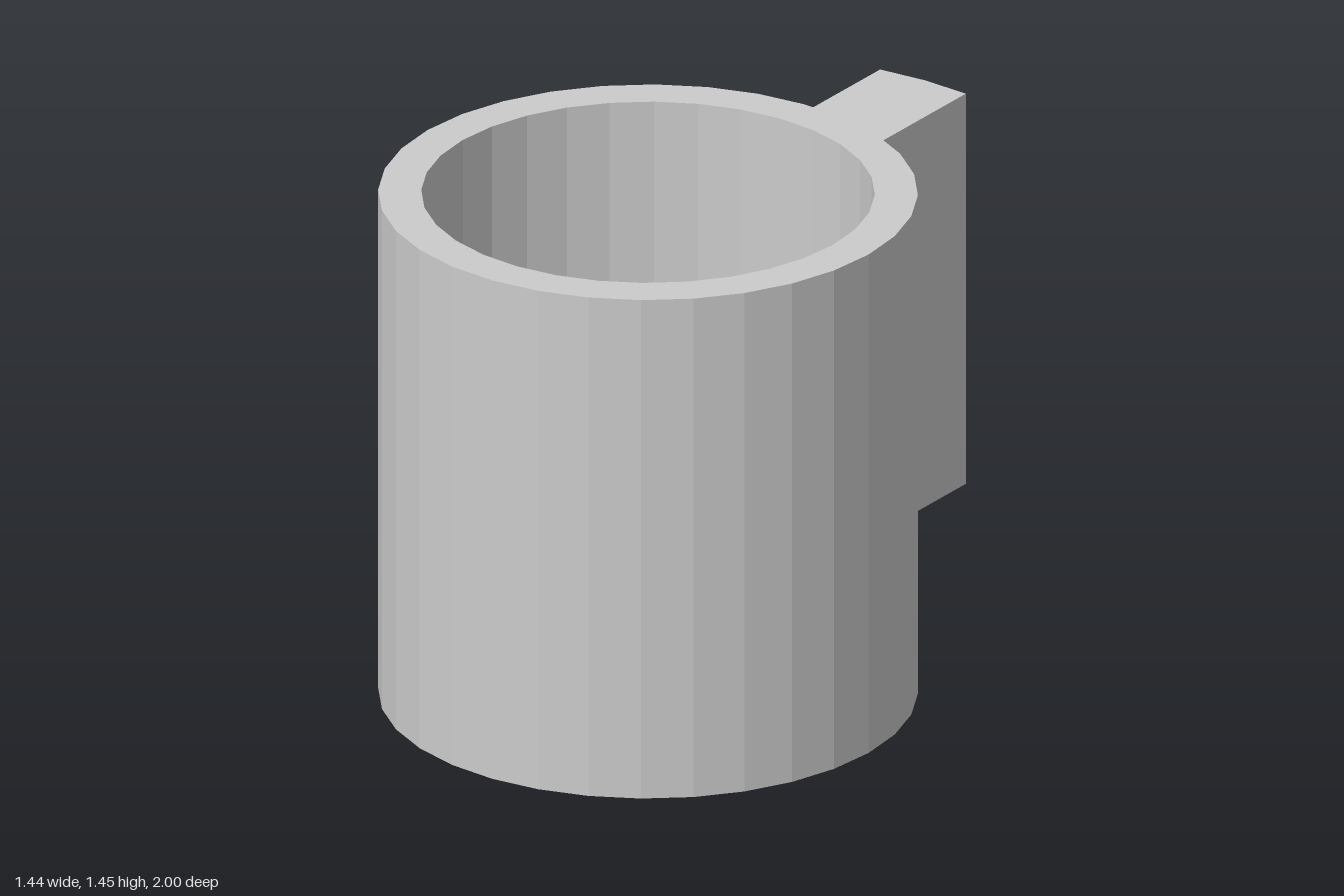
import * as THREE from 'three';

const material = new THREE.MeshStandardMaterial({ color: 0xcccccc, flatShading: true });
const CUP_Z = 0.28; // the cup sits forward so that cup and handle are centred together

// Thick-walled cup with a closed bottom, turned from one profile
function makeCup() {
  const profile = [
    [0, 0], [0.72, 0], [0.72, 1.45], [0.605, 1.45], [0.605, 0.12], [0, 0.12],
  ].map(([r, y]) => new THREE.Vector2(r, y));
  const cup = new THREE.Mesh(new THREE.LatheGeometry(profile, 32), material);
  cup.name = 'cup';
  cup.position.z = CUP_Z;
  return cup;
}

// Square C-shaped handle, its upright slightly bowed around the cup
function makeHandle() {
  const width = 0.28;
  const outline = [
    [0.4, 0.185], [0.99, 0.185], [0.99, 1.32], [0.4, 1.32],
    [0.4, 1.19], [0.705, 1.19], [0.705, 0.305], [0.4, 0.305],
  ].map(([d, y]) => new THREE.Vector2(d, y));
  const geometry = new THREE.ExtrudeGeometry(new THREE.Shape(outline), {
    depth: width, steps: 2, bevelEnabled: false,
  });
  geometry.translate(0, 0, -width / 2).rotateY(Math.PI / 2);

  // Push the middle of the upright back to make the two-facet bow
  const p = geometry.attributes.position;
  for (let i = 0; i < p.count; i++) {
    if (Math.abs(p.getX(i)) < 0.01 && p.getZ(i) < -0.6) p.setZ(i, p.getZ(i) - 0.01);
  }
  geometry.computeVertexNormals();

  const handle = new THREE.Mesh(geometry, material);
  handle.name = 'handle';
  return handle;
}

export function createModel() {
  const mug = new THREE.Group();
  mug.name = 'mug';
  mug.add(makeCup(), makeHandle());
  return mug;
}
